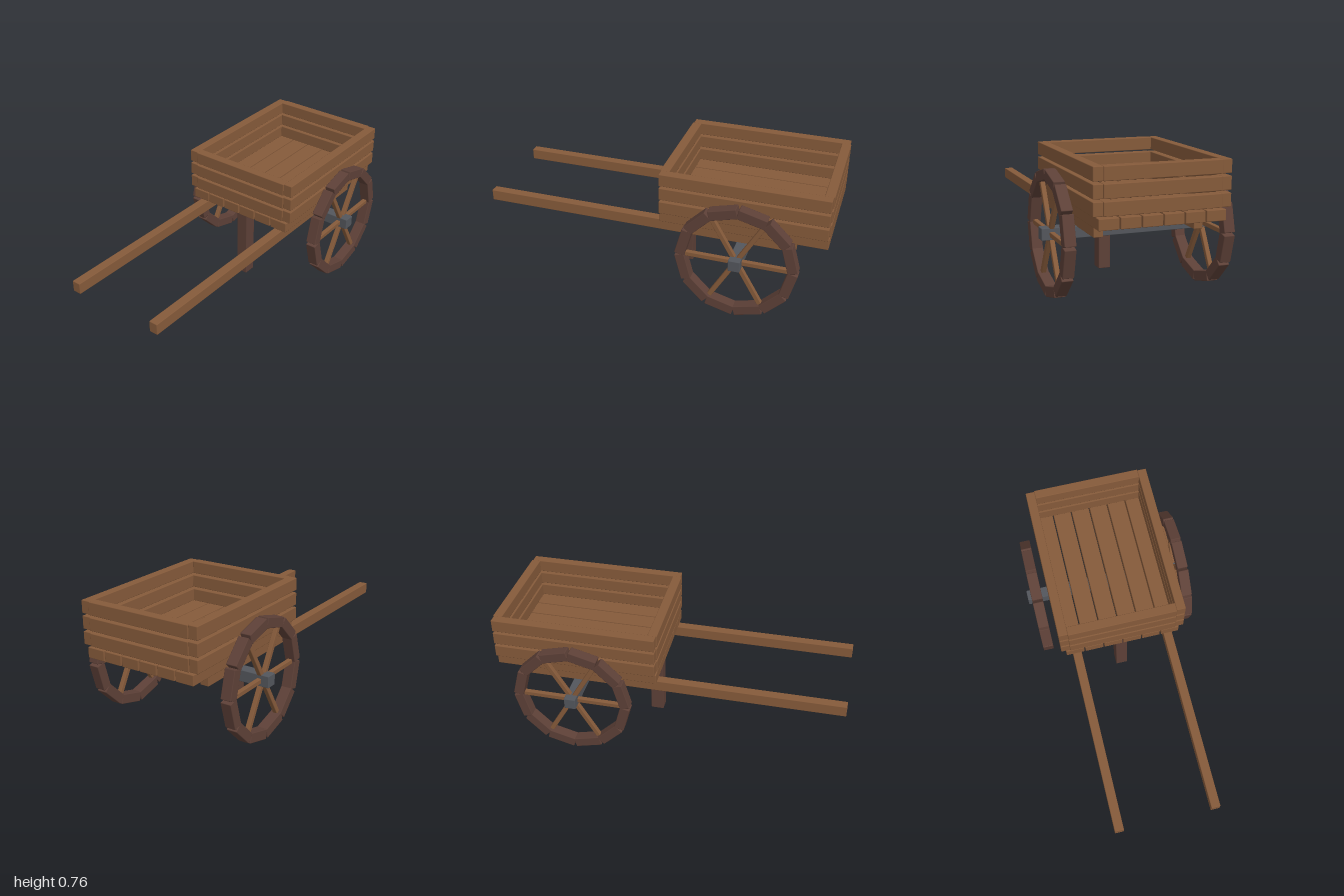
import * as THREE from 'three';
import { RoundedBoxGeometry } from 'three/addons/geometries/RoundedBoxGeometry.js';

const material = (name, color) => new THREE.MeshStandardMaterial({ name, color });

export function createModel() {
  const cart = new THREE.Group();
  cart.name = 'handCart';
  const wood = material('wood', 0x855a3a);
  const darkWood = material('darkWood', 0x5d4037);
  const iron = material('iron', 0x53565c);

  // A slightly eased timber: size and centre as [x, y, z]
  const beam = (name, size, centre, mat, parent = cart) => {
    const mesh = new THREE.Mesh(new RoundedBoxGeometry(...size, 1, 0.004), mat);
    mesh.name = name;
    mesh.position.set(...centre);
    parent.add(mesh);
    return mesh;
  };

  // Floor planks running front to back
  for (let i = 0; i < 6; i++) {
    beam('floorPlank', [0.107, 0.059, 0.936], [(i - 2.5) * 0.1135, 0.481, -0.527], wood);
  }

  // Three courses of boards around the bed
  for (let row = 0; row < 3; row++) {
    const y = 0.556 + row * 0.085;
    for (const side of [-1, 1]) {
      beam('sideBoard', [0.053, 0.072, 0.93], [side * 0.338, y, -0.527], wood);
      beam('endBoard', [0.625, 0.072, 0.053], [0, y, -0.527 + side * 0.4445], wood);
    }
  }

  // Pull shafts, front prop and axle
  for (const side of [-1, 1]) {
    beam('shaft', [0.052, 0.066, 1.82], [side * 0.274, 0.408, 0.09], wood);
  }
  beam('propLeg', [0.07, 0.442, 0.077], [0, 0.235, -0.131], darkWood);
  beam('axle', [0.98, 0.066, 0.066], [0, 0.345, -0.525], iron);

  // Wheels: twelve straight rim blocks and three spokes across the diameter
  for (const side of [-1, 1]) {
    const wheel = new THREE.Group();
    wheel.name = side > 0 ? 'leftWheel' : 'rightWheel';
    wheel.position.set(side * 0.433, 0.343, -0.525);
    for (let i = 0; i < 12; i++) {
      const a = ((i + 0.5) * Math.PI) / 6;
      const block = beam('rimBlock', [0.062, 0.057, 0.16],
        [0, 0.3035 * Math.cos(a), 0.3035 * Math.sin(a)], darkWood, wheel);
      block.rotation.x = a;
    }
    for (let i = 0; i < 3; i++) {
      const spoke = beam('spoke', [0.027, 0.027, 0.58], [0, 0, 0], wood, wheel);
      spoke.rotation.x = (i * Math.PI) / 3;
    }
    cart.add(wheel);
  }
  return cart;
}
